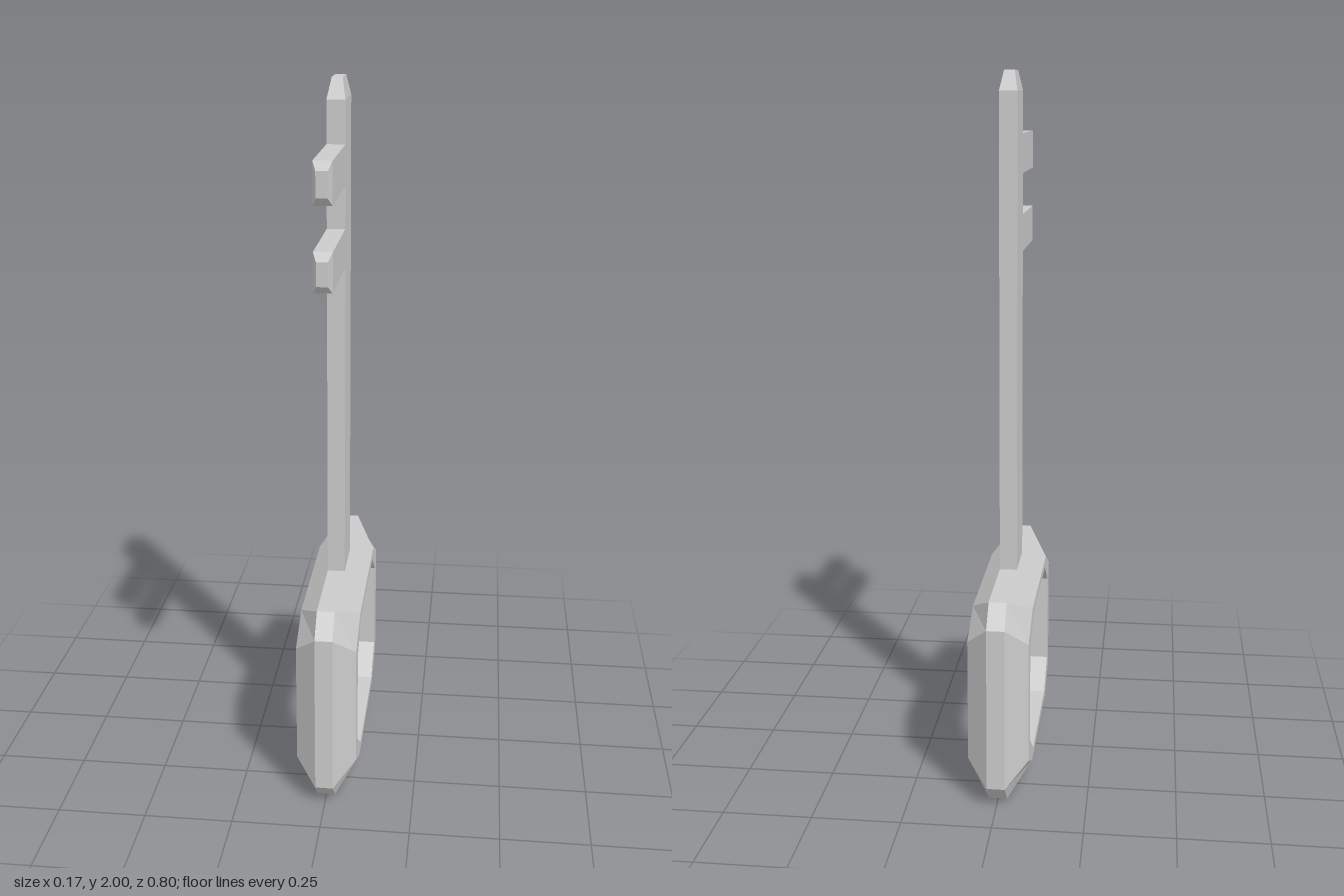
import * as THREE from 'three';

const material = new THREE.MeshStandardMaterial({ color: 0xcccccc, flatShading: true });

function addPart(group, name, geometry, x = 0, y = 0, z = 0) {
  const mesh = new THREE.Mesh(geometry, material);
  mesh.name = name;
  mesh.position.set(x, y, z);
  group.add(mesh);
  return mesh;
}

// Bar standing on y = 0 with a tapered tip: the last vertex row is pulled in.
function taperedBar(width, depth, length, tip, tipX, tipZ) {
  const g = new THREE.BoxGeometry(width, length, depth, 1, 2, 1);
  g.translate(0, length / 2, 0);
  const p = g.attributes.position;
  for (let i = 0; i < p.count; i++) {
    const y = p.getY(i);
    if (y > length * 0.75) p.setXYZ(i, p.getX(i) * tipX, y, p.getZ(i) * tipZ);
    else if (y > length * 0.25) p.setY(i, length - tip);
  }
  g.computeVertexNormals();
  return g;
}

// Chamfered rectangle in the z-y plane at a given x.
function chamferLoop(x, hz, hy, cz, cy) {
  const a = hz - cz, b = hy - cy;
  return [[hz, -b], [hz, b], [a, hy], [-a, hy], [-hz, b], [-hz, -b], [-a, -hy], [a, -hy]]
    .map(([z, y]) => [x, y, z]);
}

// Closed frame: chamfered loops skinned around the section.
function bowGeometry() {
  const outer = [0.4, 0.295, 0.06, 0.06];
  const ridge = [0.34, 0.235, 0.12, 0.06];
  const hole = [0.29, 0.21, 0.1, 0.075];
  const loops = [
    chamferLoop(-0.085, ...hole), chamferLoop(0.085, ...hole),
    chamferLoop(0.085, ...ridge), chamferLoop(0.025, ...outer),
    chamferLoop(-0.025, ...outer), chamferLoop(-0.085, ...ridge),
  ];
  const pos = [];
  loops.forEach((loop, i) => {
    const next = loops[(i + 1) % loops.length];
    for (let j = 0; j < 8; j++) {
      const k = (j + 1) % 8;
      const a = loop[j], b = loop[k], c = next[k], d = next[j];
      pos.push(...a, ...b, ...c, ...a, ...c, ...d);
    }
  });
  const g = new THREE.BufferGeometry();
  g.setAttribute('position', new THREE.Float32BufferAttribute(pos, 3));
  g.computeVertexNormals();
  return g;
}

export function createModel() {
  const key = new THREE.Group();
  key.name = 'key';

  // Frame-shaped handle
  addPart(key, 'bow', bowGeometry(), 0, 0.295, 0);

  // Shaft, sunk slightly into the handle, with a bevelled tip
  addPart(key, 'shaft', taperedBar(0.05, 0.154, 1.43, 0.055, 0.58, 0.58), 0, 0.57, 0);

  // Two teeth pointing to the front, with bevelled ends
  [[1.5, 1.605], [1.72, 1.83]].forEach(([low, high], i) => {
    const tooth = addPart(key, i ? 'upperTooth' : 'lowerTooth',
      taperedBar(0.05, high - low, 0.33, 0.022, 0.6, 0.6), 0, (low + high) / 2, 0.068);
    tooth.rotation.x = Math.PI / 2;
  });

  return key;
}
